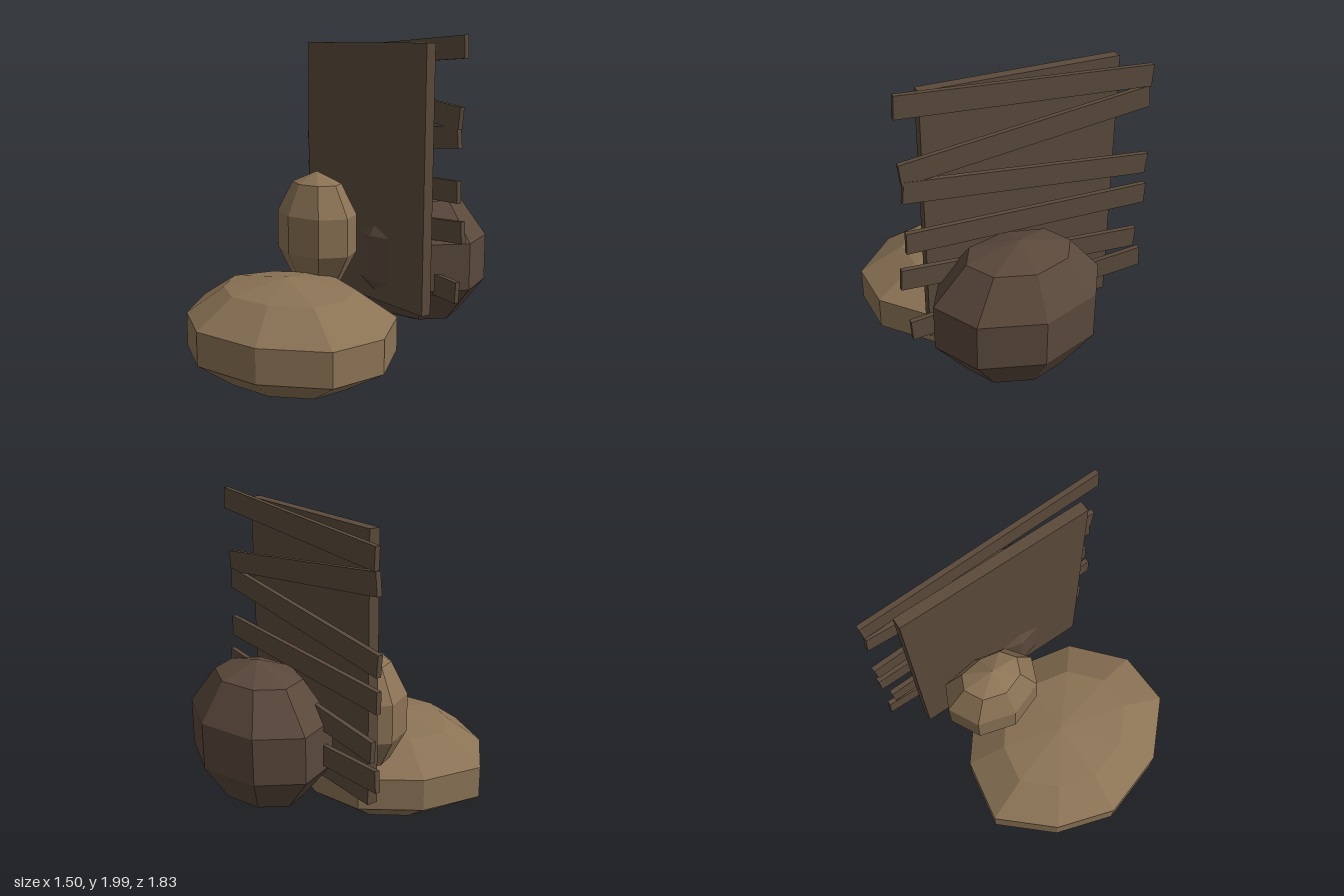
import * as THREE from 'three';

const mat = (name, color) => {
  const m = new THREE.MeshStandardMaterial({ color, flatShading: true });
  m.name = name;
  return m;
};

// Faceted boulder: an outline [x, z] scaled towards a centre over five latitude bands.
function boulder(name, material, [cx, cy, cz], halfHeight, outline) {
  const bands = 5, n = outline.length, widest = Math.sin(Math.PI * 2 / 5);
  const positions = [], index = [];
  for (let j = 0; j <= bands; j++) {
    const a = Math.PI * j / bands;
    const s = Math.sin(a) / widest, y = cy - halfHeight * Math.cos(a);
    for (const [x, z] of outline) positions.push(cx + (x - cx) * s, y, cz + (z - cz) * s);
  }
  for (let j = 0; j < bands; j++) {
    for (let i = 0; i < n; i++) {
      const k = (i + 1) % n;
      const a = j * n + i, b = j * n + k, c = a + n, d = b + n;
      if (j > 0) index.push(a, b, d);
      if (j < bands - 1) index.push(a, d, c);
    }
  }
  const g = new THREE.BufferGeometry();
  g.setAttribute('position', new THREE.Float32BufferAttribute(positions, 3));
  g.setIndex(index);
  g.computeVertexNormals();
  const mesh = new THREE.Mesh(g, material);
  mesh.name = name;
  return mesh;
}

export function createModel() {
  const model = new THREE.Group();
  model.name = 'rockAndBoards';
  const tan = mat('tan stone', 0x8b7355);
  const brown = mat('brown stone', 0x5a483b);
  const wood = mat('weathered wood', 0x5a4a3a);

  // Boulders
  model.add(boulder('frontBoulder', tan, [0.05, 0.322, 0.335], 0.317, [
    [0.05, 0.915], [0.46, 0.79], [0.74, 0.5], [0.73, 0.16], [0.47, -0.14],
    [0.04, -0.23], [-0.28, -0.15], [-0.52, 0.15], [-0.59, 0.53], [-0.3, 0.8]]));
  model.add(boulder('tallBoulder', tan, [-0.19, 0.82, -0.04], 0.37, [
    [-0.18, 0.175], [0.03, 0.1], [0.1, -0.06], [0, -0.2],
    [-0.19, -0.24], [-0.42, -0.21], [-0.49, -0.07], [-0.4, 0.11]]));
  model.add(boulder('backBoulder', brown, [0.13, 0.687, -0.555], 0.442, [
    [0.13, -0.2], [0.5, -0.3], [0.63, -0.54], [0.49, -0.8],
    [0.14, -0.915], [-0.21, -0.8], [-0.36, -0.56], [-0.24, -0.3]]));

  // Upright board
  const panel = new THREE.Mesh(new THREE.BoxGeometry(1.14, 1.525, 0.063), wood);
  panel.name = 'panel';
  panel.position.set(0, 1.193, -0.268);
  model.add(panel);

  // Crooked planks: left end x, y and right end x, y, then depth
  const planks = new THREE.Group();
  planks.name = 'planks';
  const ends = [
    [-0.73, 1.848, 0.73, 1.936, -0.376],
    [-0.73, 1.722, 0.715, 1.555, -0.364],
    [-0.745, 1.305, 0.705, 1.455, -0.366],
    [-0.75, 1.112, 0.705, 1.15, -0.372],
    [-0.705, 0.82, 0.745, 0.93, -0.372],
    [-0.75, 0.672, 0.705, 0.578, -0.376]];
  ends.forEach(([x0, y0, x1, y1, z], i) => {
    const plank = new THREE.Mesh(
      new THREE.BoxGeometry(Math.hypot(x1 - x0, y1 - y0), 0.124, 0.03), wood);
    plank.name = `plank${i + 1}`;
    plank.position.set((x0 + x1) / 2, (y0 + y1) / 2, z);
    plank.rotation.z = Math.atan2(y1 - y0, x1 - x0);
    planks.add(plank);
  });
  model.add(planks);
  return model;
}
